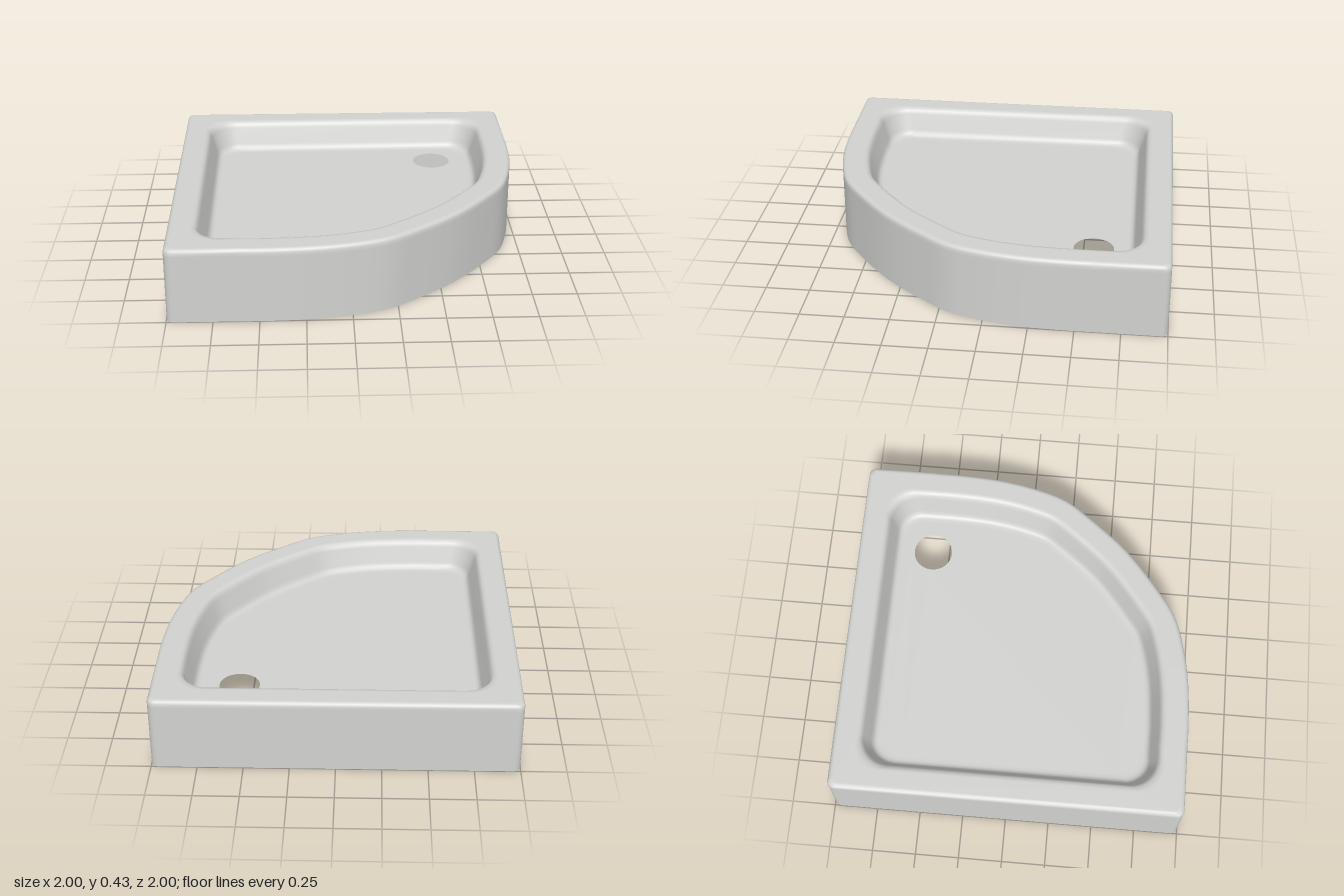
import * as THREE from 'three';

const TOP = 0.425, FLOOR = 0.253;

// Bowed front edge, symmetric about the x = z diagonal
const half = [[1, -0.6], [1, -0.45], [0.985, -0.2], [0.945, 0.02], [0.885, 0.2], [0.775, 0.36]];
const bowPoints = [...half, [0.585, 0.585], ...half.map(([x, z]) => [z, x]).reverse()];
const bow = new THREE.CatmullRomCurve3(bowPoints.map(([x, z]) => new THREE.Vector3(x, 0, z)));

// Closed outline moved inwards by inset, with its three square corners rounded
function outline(inset, radius) {
  const points = [];
  const e = 1 - inset - radius;
  const corner = (sx, sz, start) => {
    for (let i = 0; i <= 10; i++) {
      const a = start + (i / 10) * Math.PI / 2;
      points.push([sx * e + radius * Math.cos(a), sz * e + radius * Math.sin(a)]);
    }
  };
  corner(-1, -1, Math.PI);
  corner(1, -1, -Math.PI / 2);
  for (let i = 0; i <= 56; i++) {
    const p = bow.getPoint(i / 56), t = bow.getTangent(i / 56);
    points.push([p.x - t.z * inset, p.z + t.x * inset]);
  }
  corner(-1, 1, Math.PI / 2);
  return points;
}

// Skin through rings given as [inset, height, corner radius]
function loft(rings) {
  const positions = [], index = [];
  let n = 0;
  for (const [inset, y, radius] of rings) {
    const loop = outline(inset, radius);
    n = loop.length;
    for (const [x, z] of loop) positions.push(x, y, z);
  }
  for (let r = 0; r < rings.length - 1; r++) {
    for (let j = 0; j < n; j++) {
      const a = r * n + j, b = r * n + (j + 1) % n;
      index.push(a, a + n, b, b, a + n, b + n);
    }
  }
  const geometry = new THREE.BufferGeometry();
  geometry.setAttribute('position', new THREE.Float32BufferAttribute(positions, 3));
  geometry.setIndex(index);
  geometry.computeVertexNormals();
  return geometry;
}

export function createModel() {
  const group = new THREE.Group();
  group.name = 'showerTray';
  const acrylic = new THREE.MeshStandardMaterial({ color: 0xd2d2d0, side: THREE.DoubleSide });
  acrylic.name = 'light grey acrylic';
  const add = (name, geometry) => {
    const mesh = new THREE.Mesh(geometry, acrylic);
    mesh.name = name;
    group.add(mesh);
  };

  // Outer skirt, open underneath, with a softened top edge
  const rim = [[0, 0, 0.04], [0, 0.385, 0.04], [0, 0.405, 0.04], [0.006, 0.419, 0.038],
    [0.02, TOP, 0.035], [0.03, TOP, 0.035], [0.12, TOP, 0.15]];
  // Sloping basin wall, rounded into the rim and the floor
  const basin = [[0.13, TOP, 0.16], [0.146, 0.421, 0.165], [0.158, 0.409, 0.165],
    [0.167, 0.388, 0.16], [0.198, 0.292, 0.14], [0.207, 0.27, 0.135],
    [0.219, 0.258, 0.13], [0.235, FLOOR, 0.125], [0.26, FLOOR, 0.12]];
  add('skirtRimAndBasinWall', loft([...rim, ...basin]));

  // Basin floor with the round drain hole
  const shape = new THREE.Shape(outline(0.26, 0.12).map(([x, z]) => new THREE.Vector2(x, -z)));
  shape.holes.push(new THREE.Path().absarc(0.545, 0.575, 0.113, 0, Math.PI * 2, true));
  const floor = new THREE.ShapeGeometry(shape, 32);
  floor.rotateX(-Math.PI / 2);
  floor.translate(0, FLOOR, 0);
  add('basinFloor', floor);

  return group;
}
